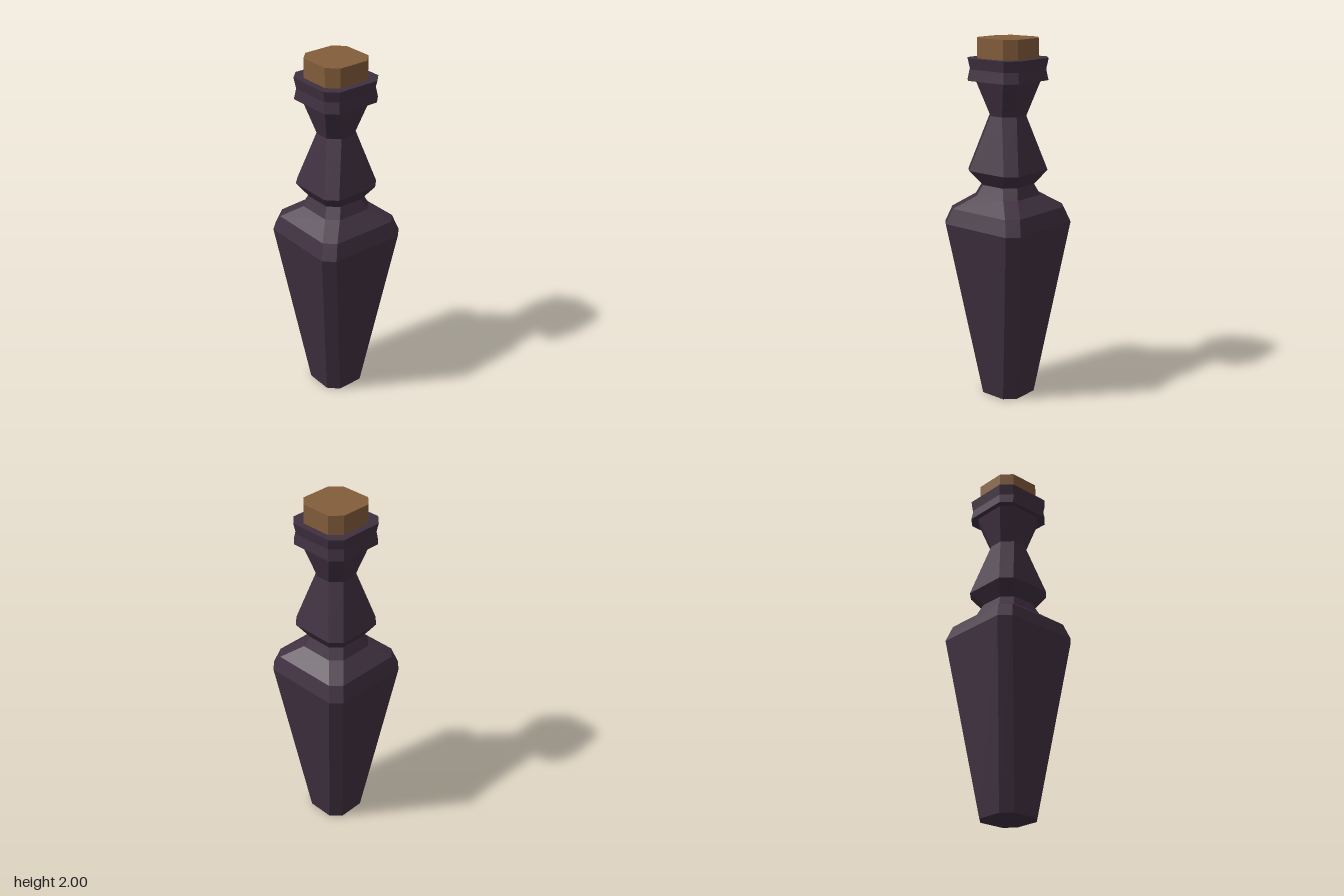
import * as THREE from 'three';

const CHAMFER = 0.055;

// Corners of a square with cut corners, counter-clockwise seen from above
function ring(half, y) {
  const a = half, b = half - CHAMFER;
  return [[a, b], [a, -b], [b, -a], [-b, -a], [-a, -b], [-a, b], [-b, a], [b, a]]
    .map(([x, z]) => [x, y, z]);
}

// Closed faceted solid through [half width, height] levels, bottom to top
function chamferedLoft(profile) {
  const rings = profile.map(([half, y]) => ring(half, y));
  const pos = [];
  const tri = (a, b, c) => pos.push(...a, ...b, ...c);
  for (let r = 0; r < rings.length - 1; r++) {
    const lo = rings[r], hi = rings[r + 1];
    for (let i = 0; i < 8; i++) {
      const j = (i + 1) % 8;
      tri(lo[i], lo[j], hi[j]);
      tri(lo[i], hi[j], hi[i]);
    }
  }
  const bottom = rings[0], top = rings[rings.length - 1];
  for (let i = 1; i < 7; i++) {
    tri(bottom[0], bottom[i + 1], bottom[i]);
    tri(top[0], top[i], top[i + 1]);
  }
  const geo = new THREE.BufferGeometry();
  geo.setAttribute('position', new THREE.Float32BufferAttribute(pos, 3));
  geo.computeVertexNormals();
  return geo;
}

export function createModel() {
  const group = new THREE.Group();
  group.name = 'bottle';

  const glass = new THREE.MeshStandardMaterial({ color: 0x403040, flatShading: true });
  glass.name = 'dark purple glass';
  const corkMat = new THREE.MeshStandardMaterial({ color: 0x835d3b, flatShading: true });
  corkMat.name = 'brown cork';

  const add = (name, profile, material) => {
    const mesh = new THREE.Mesh(chamferedLoft(profile), material);
    mesh.name = name;
    group.add(mesh);
  };

  // Tapered body, shoulder, bulb and flared neck in one skin
  add('bottleBody', [
    [0.13, 0], [0.27, 1.0], [0.242, 1.085], [0.15, 1.155], [0.125, 1.215],
    [0.178, 1.293], [0.095, 1.59], [0.15, 1.78],
  ], glass);

  // Lip with a slightly pinched waist
  add('lip', [[0.178, 1.778], [0.169, 1.837], [0.178, 1.895]], glass);

  // Stopper
  add('cork', [[0.141, 1.89], [0.141, 2.0]], corkMat);

  return group;
}
